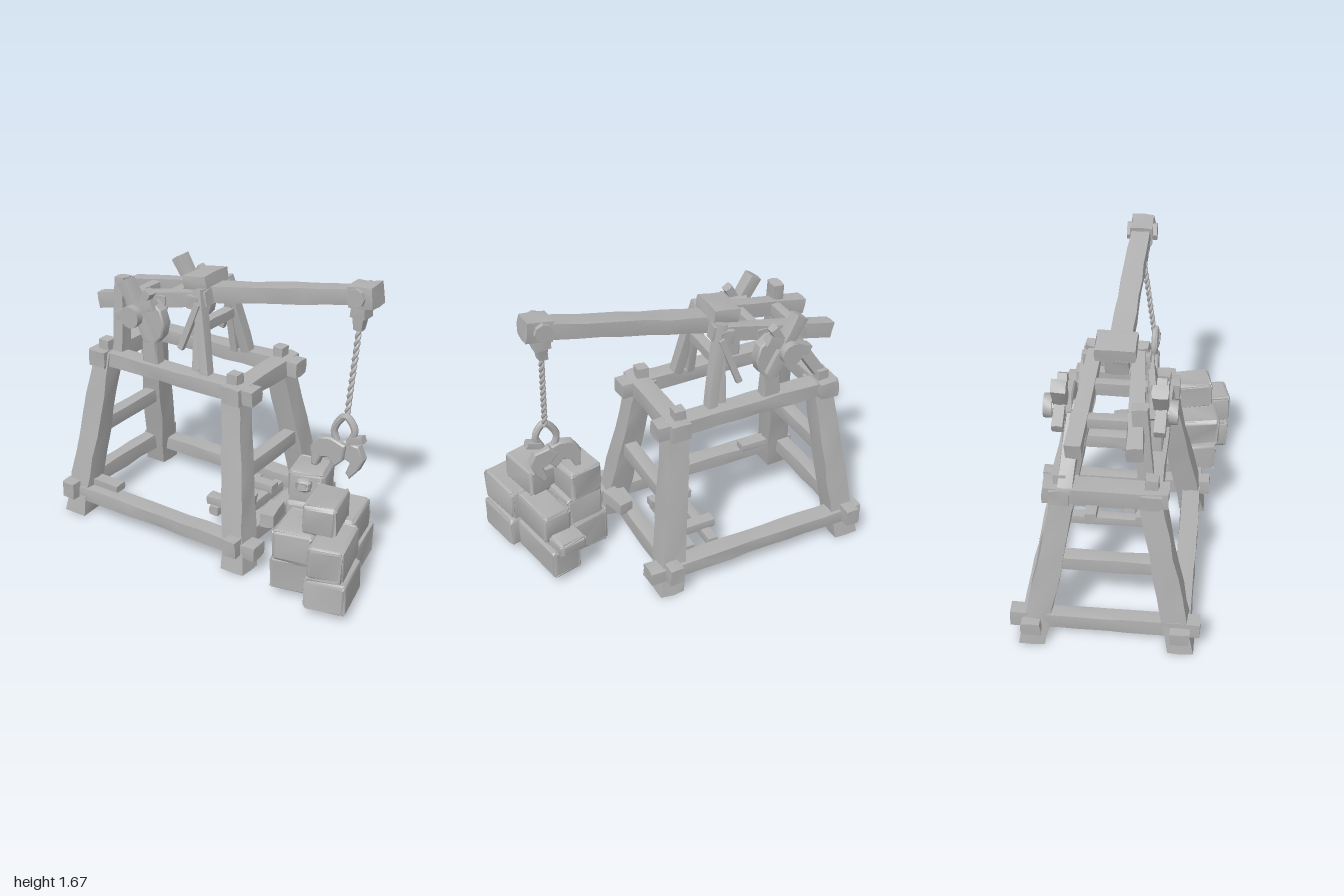
import * as THREE from 'three';
import { toCreasedNormals } from 'three/addons/utils/BufferGeometryUtils.js';
import { RoundedBoxGeometry } from 'three/addons/geometries/RoundedBoxGeometry.js';

const V = (x, y, z) => new THREE.Vector3(x, y, z);
const ZC = -0.045; // mirror plane of the winch assembly

// Small repeatable offset that depends only on position and seed
function noise(x, y, z, s) {
  const n = Math.sin(Math.round(x * 500) * 12.99 + Math.round(y * 500) * 78.23 + Math.round(z * 500) * 37.72 + s * 4.1) * 43758.5453;
  return n - Math.floor(n) - 0.5;
}

// Makes a surface uneven, like hewn wood or rough stone
function roughen(geo, amount, seed) {
  const p = geo.attributes.position;
  for (let i = 0; i < p.count; i++) {
    const [x, y, z] = [p.getX(i), p.getY(i), p.getZ(i)];
    p.setXYZ(i, x + noise(x, y, z, seed) * amount, y + noise(x, y, z, seed + 7) * amount, z + noise(x, y, z, seed + 13) * amount);
  }
  return geo;
}

export function createModel() {
  const root = new THREE.Group();
  root.name = 'crane';
  const grey = new THREE.MeshStandardMaterial({ color: 0xb0b0b0 });
  grey.name = 'plain grey';
  let seed = 1;

  function add(name, geo, parent = root) {
    const m = new THREE.Mesh(toCreasedNormals(geo, 0.6), grey);
    m.name = name;
    parent.add(m);
    return m;
  }

  // Uneven bar standing on the y axis, with worn corners
  function hewnBar(w, len, d, taper) {
    const geo = new THREE.BoxGeometry(w, len, d, 2, Math.max(2, Math.round(len / 0.12)), 2);
    const p = geo.attributes.position;
    for (let i = 0; i < p.count; i++) {
      const k = 1 + (taper - 1) * (p.getY(i) / len + 0.5);
      const corner = Math.abs(p.getX(i)) > w * 0.4 && Math.abs(p.getZ(i)) > d * 0.4 ? 0.94 : 1;
      p.setX(i, p.getX(i) * k * corner);
      p.setZ(i, p.getZ(i) * k * corner);
    }
    return roughen(geo, Math.min(w, d) * 0.08, seed++);
  }

  // Beam from a to b; w lies across, d along z (or along y for beams running in z)
  function beam(name, a, b, w, d = w, taper = 1) {
    const dir = b.clone().sub(a);
    const m = add(name, hewnBar(w, dir.length(), d, taper));
    dir.normalize();
    const ref = Math.abs(dir.z) > 0.8 ? V(0, 1, 0) : V(0, 0, 1);
    const xa = dir.clone().cross(ref).normalize();
    m.quaternion.setFromRotationMatrix(new THREE.Matrix4().makeBasis(xa, dir, xa.clone().cross(dir)));
    m.position.copy(a).add(b).multiplyScalar(0.5);
    return m;
  }

  // Leg that leans from a to b but keeps a flat foot on the ground
  function leg(a, b) {
    const geo = hewnBar(0.15, 1, 0.15, 0.84);
    const p = geo.attributes.position;
    for (let i = 0; i < p.count; i++) {
      const t = p.getY(i) + 0.5;
      p.setXYZ(i, p.getX(i) + a.x + (b.x - a.x) * t, t < 0.03 ? 0 : t, p.getZ(i) + a.z + (b.z - a.z) * t);
    }
    add('leg', geo);
  }

  // Flat part cut from an outline in x and y
  function plate(name, pts, z, depth) {
    const geo = new THREE.ExtrudeGeometry(new THREE.Shape(pts.map(([x, y]) => new THREE.Vector2(x, y))),
      { depth, bevelEnabled: true, bevelSize: 0.008, bevelThickness: 0.008, bevelSegments: 1 });
    add(name, geo).position.z = z - depth / 2;
  }

  // Round bar along z
  function pin(name, r, len, centre, sides) {
    const m = add(name, new THREE.CylinderGeometry(r, r, len, sides));
    m.rotation.x = Math.PI / 2;
    m.position.copy(centre);
  }

  function tube(name, pts, r, n = 24) {
    add(name, new THREE.TubeGeometry(new THREE.CatmullRomCurve3(pts), n, r, 8));
  }

  // Leaning legs
  for (const [x0, x1] of [[-0.89, -0.775], [0.255, 0.11]])
    for (const [z0, z1] of [[0.36, 0.175], [-0.44, -0.245]]) leg(V(x0, 0, z0), V(x1, 1, z1));

  // Ground frame
  for (const z of [0.355, -0.44]) beam('groundRail', V(-0.99, 0.138, z), V(0.38, 0.138, z), 0.085, 0.11);
  for (const x of [-0.9, 0.25]) beam('groundCrossBeam', V(x, 0.16, 0.46), V(x, 0.16, -0.555), 0.085, 0.1);
  beam('railPlank', V(-0.8, 0.2, 0.31), V(-0.62, 0.2, 0.31), 0.045, 0.08);

  // Middle braces
  for (const x of [-0.83, 0.185]) beam('middleBrace', V(x, 0.525, 0.28), V(x, 0.525, -0.36), 0.08, 0.09);

  // Upper frame with corner pegs
  for (const z of [0.185, -0.275]) {
    beam('upperRail', V(-0.86, 0.97, z), V(0.25, 0.97, z), 0.09, 0.11);
    for (const x of [-0.775, 0.11]) beam('cornerPeg', V(x, 0.95, z), V(x, 1.075, z), 0.075, 0.075, 0.9);
  }
  for (const x of [-0.79, 0.13]) beam('upperCrossBeam', V(x, 0.97, 0.27), V(x, 0.97, -0.36), 0.115, 0.1);

  // Winch supports: an upright post in front, a leaning strut behind
  beam('winchPost', V(-0.7, 0.98, 0.15), V(-0.695, 1.445, 0.115), 0.065, 0.085);
  beam('rearStrut', V(-0.82, 0.98, -0.25), V(-0.6, 1.31, -0.215), 0.07, 0.08);

  // Winch and strut parts, built on both sides
  for (const s of [1, -1]) {
    const P = (x, y, d) => V(x, y, ZC + s * d);
    beam('boomArm', P(-0.86, 1.275, 0.15), P(-0.14, 1.415, 0.11), 0.1, 0.085, 0.85);
    beam('frontStrut', P(-0.19, 1.46, 0.13), P(-0.09, 0.98, 0.21), 0.06, 0.065);
    beam('uprightStrut', P(-0.18, 1.43, 0.12), P(-0.17, 1.0, 0.19), 0.045, 0.05);
    beam('lever', P(-0.17, 1.39, 0.17), P(-0.27, 1.12, 0.2), 0.035, 0.035);
    plate('winchBracket', [[-0.49, 1.0], [-0.4, 1.0], [-0.41, 1.14], [-0.365, 1.19], [-0.35, 1.26], [-0.37, 1.33], [-0.42, 1.37],
      [-0.53, 1.37], [-0.56, 1.28], [-0.47, 1.2], [-0.49, 1.12]], ZC + s * 0.225, 0.055);
    // Hand spokes and hub of the winch
    beam('spoke', P(-0.6, 1.47, 0.25), P(-0.42, 1.16, 0.255), 0.075, 0.08);
    beam('spoke', P(-0.66, 1.25, 0.255), P(-0.4, 1.37, 0.255), 0.06, 0.06);
    beam('spoke', P(-0.435, 1.435, 0.25), P(-0.56, 1.22, 0.25), 0.05, 0.055);
    pin('axle', 0.04, 0.16, P(-0.52, 1.29, 0.25), 10);
    pin('hub', 0.063, 0.045, P(-0.52, 1.29, 0.315), 12);
  }
  beam('armRung', V(-0.66, 1.32, 0.14), V(-0.66, 1.32, -0.23), 0.06, 0.06);
  beam('armRung', V(-0.42, 1.36, 0.13), V(-0.42, 1.36, -0.22), 0.055, 0.055);
  beam('lowerRung', V(-0.17, 1.25, 0.12), V(-0.17, 1.25, -0.21), 0.06, 0.06);
  beam('pivotBeam', V(-0.21, 1.39, 0.13), V(-0.21, 1.39, -0.22), 0.08, 0.08);

  // Boom with its binding block and head
  beam('boom', V(-0.3, 1.385, -0.04), V(0.8, 1.605, -0.005), 0.1, 0.13, 0.85);
  beam('bindingBlock', V(-0.315, 1.465, ZC), V(-0.165, 1.49, ZC), 0.08, 0.22);
  beam('boomHead', V(0.7, 1.59, 0), V(0.84, 1.61, 0), 0.12, 0.13);
  pin('headPin', 0.05, 0.17, V(0.755, 1.6, 0), 8);
  beam('ropeBlock', V(0.75, 1.56, 0), V(0.75, 1.48, 0), 0.09, 0.09);
  beam('ropeKnot', V(0.75, 1.5, 0), V(0.745, 1.41, 0.005), 0.065, 0.075, 0.75);

  // Rope of two twisted strands
  for (const phase of [0, Math.PI]) {
    const pts = [];
    for (let i = 0; i <= 60; i++) {
      const t = i / 60, a = t * 40 + phase;
      pts.push(V(0.748 - 0.013 * t + 0.007 * Math.cos(a), 1.45 - 0.51 * t, 0.005 + 0.07 * t + 0.007 * Math.sin(a)));
    }
    tube('ropeStrand', pts, 0.01, 120);
  }

  // Grapple: shackle, crossbar and two jaws
  const hz = 0.085;
  tube('shackle', [V(0.69, 0.78, hz), V(0.67, 0.86, hz), V(0.735, 0.95, hz), V(0.79, 0.88, hz), V(0.76, 0.8, hz)], 0.02);
  beam('shackleTongue', V(0.77, 0.82, hz), V(0.845, 0.845, hz), 0.04, 0.05);
  plate('leftJaw', [[0.555, 0.63], [0.548, 0.73], [0.59, 0.79], [0.66, 0.805], [0.74, 0.78], [0.73, 0.7],
    [0.69, 0.66], [0.65, 0.7], [0.6, 0.69], [0.575, 0.63]], hz, 0.04);
  plate('rightJaw', [[0.69, 0.76], [0.73, 0.8], [0.81, 0.785], [0.84, 0.72], [0.81, 0.65], [0.77, 0.6],
    [0.755, 0.62], [0.78, 0.69], [0.73, 0.71]], hz - 0.02, 0.04);

  // Stack of rough stone blocks: x0, x1, y0, y1, z0, z1 within the turned pile
  const pile = new THREE.Group();
  pile.name = 'stonePile';
  pile.position.set(0.7, 0, 0.18);
  pile.rotation.y = 0.2;
  root.add(pile);
  for (const [x0, x1, y0, y1, z0, z1] of [
    [-0.23, 0.0, 0.04, 0.24, 0.02, 0.27], [-0.265, 0.0, 0.04, 0.26, -0.19, 0.02],
    [0.0, 0.18, 0.04, 0.23, -0.3, 0.09], [0.0, 0.225, 0.04, 0.225, 0.09, 0.385],
    [-0.21, 0.015, 0.23, 0.41, 0.02, 0.29], [-0.235, 0.0, 0.26, 0.44, -0.19, 0.02],
    [0.0, 0.175, 0.24, 0.42, -0.22, 0.08], [0.015, 0.205, 0.235, 0.42, 0.08, 0.39],
    [-0.02, 0.15, 0.2, 0.29, -0.335, -0.18],
    [-0.06, 0.125, 0.41, 0.585, 0.0, 0.26], [-0.23, -0.03, 0.43, 0.62, -0.2, 0.0],
    [-0.17, -0.09, 0.52, 0.59, -0.02, 0.05]]) {
    const geo = new RoundedBoxGeometry(x1 - x0, y1 - y0, z1 - z0, 2, 0.022);
    const m = add('stoneBlock', roughen(geo, 0.01, seed++), pile);
    m.position.set((x0 + x1) / 2, (y0 + y1) / 2, (z0 + z1) / 2);
    m.rotation.y = noise(x0, y0, z0, 3) * 0.07;
  }

  // Low rack lying inside the ground frame, and a loose block beside the leg
  for (const x of [-0.08, 0.07]) beam('rackBar', V(x, 0.13, 0.13), V(x, 0.13, -0.35), 0.06, 0.06);
  for (const z of [0.08, -0.22]) beam('rackRung', V(-0.14, 0.18, z), V(0.12, 0.18, z), 0.055, 0.07);
  beam('rackPeg', V(0.05, 0.055, 0.0), V(0.085, 0.24, 0.0), 0.08, 0.07);
  beam('looseBlock', V(0.33, 0.235, 0.2), V(0.29, 0.235, 0.03), 0.085, 0.08);

  return root;
}
